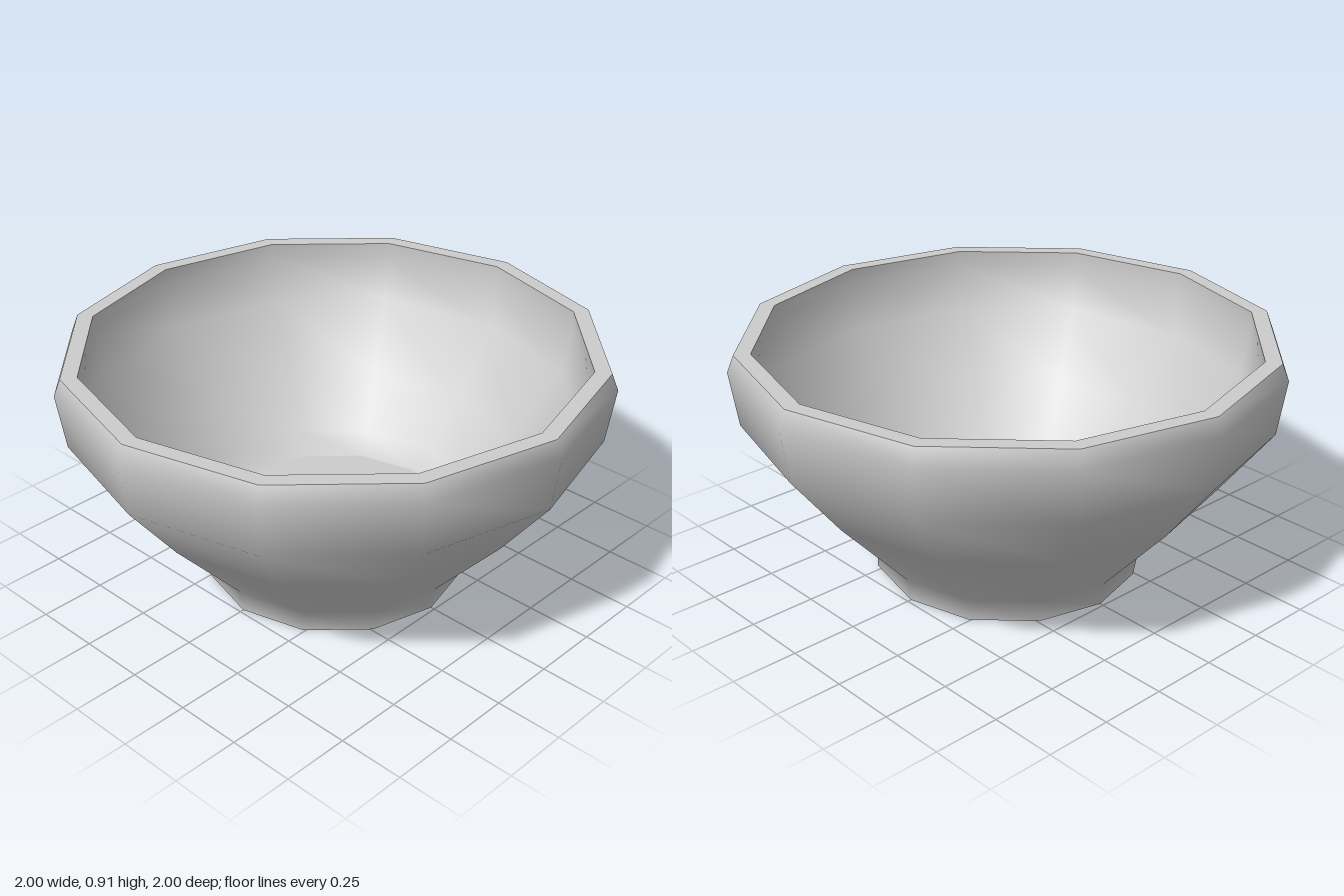
import * as THREE from 'three';

const SIDES = 12;

export function createModel() {
  const bowl = new THREE.Group();
  bowl.name = 'bowl';
  const ceramic = new THREE.MeshStandardMaterial({ color: 0xcccccc });
  ceramic.name = 'grey ceramic';

  // Each ring is turned separately, so edges between them stay crisp
  const turn = (name, profile) => {
    const points = profile.map(([r, y]) => new THREE.Vector2(r, y));
    const mesh = new THREE.Mesh(new THREE.LatheGeometry(points, SIDES), ceramic);
    mesh.name = name;
    bowl.add(mesh);
    return mesh;
  };

  // Underside of the foot
  const base = turn('base', [[0, 0], [0.485, 0]]);

  // Foot, flared wall and chamfered lip
  const wall = [
    [0.485, 0], [0.5, 0.09], [0.78, 0.4], [0.97, 0.645], [1, 0.85], [0.975, 0.912],
  ];
  const outerWall = turn('outerWall', wall);

  // One corner of the foot is chipped upwards, at the back
  const corner = 5;
  base.geometry.attributes.position.setXYZ(corner * 2 + 1, 0.25, 0.02, -0.44);
  outerWall.geometry.attributes.position.setXYZ(corner * wall.length, 0.25, 0.02, -0.44);

  // Flat top edge
  turn('rim', [[0.975, 0.912], [0.915, 0.912]]);

  // Hollow: wall, shallow bevel and flat floor
  turn('innerWall', [
    [0.915, 0.912], [0.915, 0.85], [0.885, 0.67], [0.7, 0.43], [0.55, 0.245],
    [0.445, 0.19], [0.435, 0.19], [0, 0.19],
  ]);

  return bowl;
}
